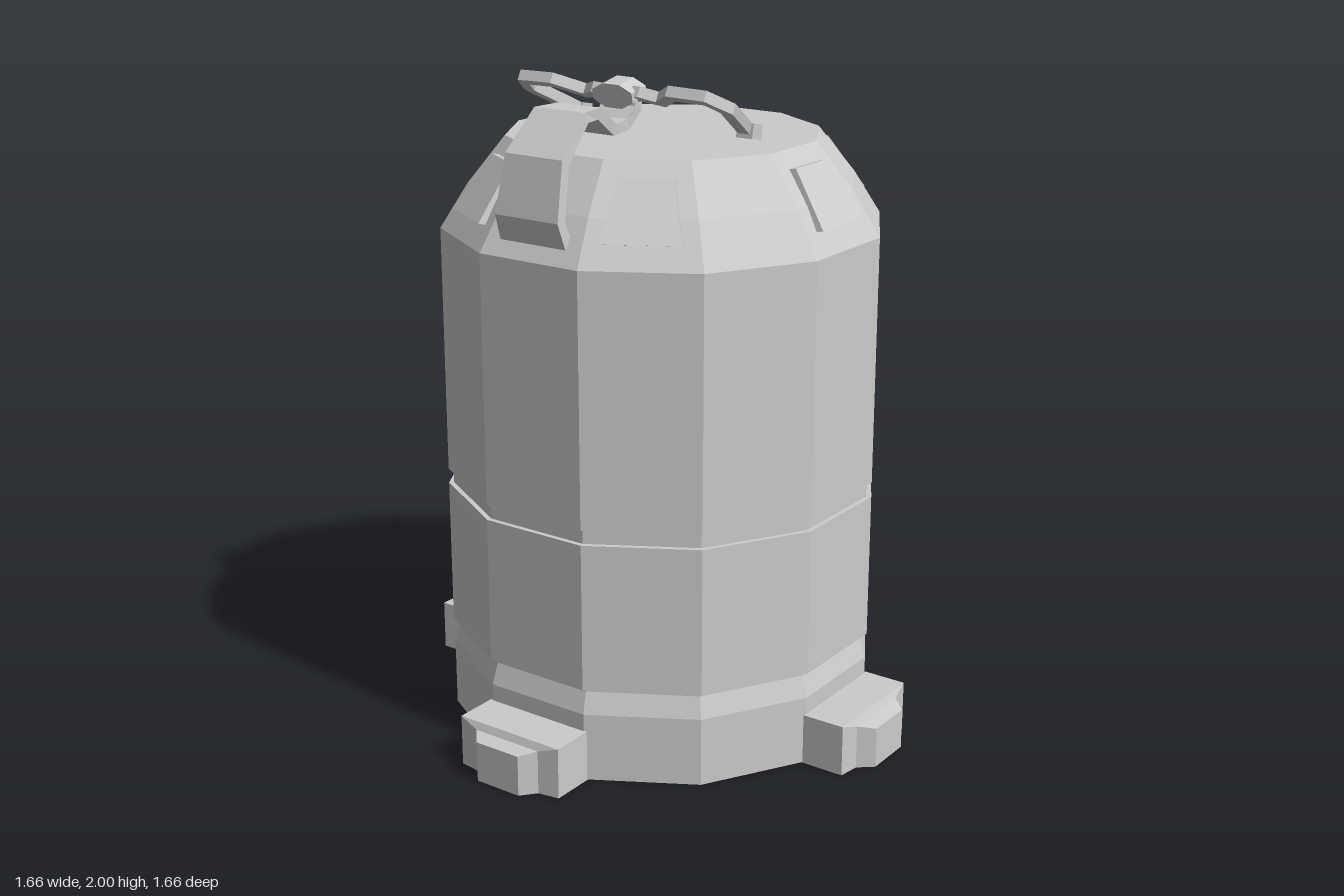
import * as THREE from 'three';

const material = new THREE.MeshStandardMaterial({ color: 0xcccccc, flatShading: true, side: THREE.DoubleSide });

// Joins cross-sections (counter-clockwise around the direction of travel) into a faceted skin.
function loft(name, rings, { closed = true, start = true, end = true, skip = () => false } = {}) {
  const pos = [];
  const tri = (...pts) => pts.forEach((p) => pos.push(...p));
  const n = rings[0].length;
  for (let i = 0; i < rings.length - 1; i++) {
    for (let j = 0; j < (closed ? n : n - 1); j++) {
      if (skip(i, j)) continue;
      const k = (j + 1) % n;
      tri(rings[i][j], rings[i][k], rings[i + 1][k]);
      tri(rings[i][j], rings[i + 1][k], rings[i + 1][j]);
    }
  }
  const first = rings[0], last = rings[rings.length - 1];
  for (let j = 1; j < n - 1; j++) {
    if (start) tri(first[0], first[j + 1], first[j]);
    if (end) tri(last[0], last[j], last[j + 1]);
  }
  const geo = new THREE.BufferGeometry();
  geo.setAttribute('position', new THREE.Float32BufferAttribute(pos, 3));
  geo.computeVertexNormals();
  const mesh = new THREE.Mesh(geo, material);
  mesh.name = name;
  return mesh;
}

// Rectangular bar swept along points; size(i) gives half width (sideways) and half thickness.
function bar(name, points, sideways, size) {
  const v = points.map((p) => new THREE.Vector3(...p));
  const rings = v.map((p, i) => {
    const a = v[Math.max(i - 1, 0)], b = v[Math.min(i + 1, v.length - 1)];
    const t = b.clone().sub(a).normalize();
    const s = sideways.clone().addScaledVector(t, -sideways.dot(t)).normalize();
    const u = t.clone().cross(s);
    const [w, h] = size(i);
    return [[1, 1], [-1, 1], [-1, -1], [1, -1]].map(([q, r]) =>
      p.clone().addScaledVector(s, q * w).addScaledVector(u, r * h).toArray());
  });
  return loft(name, rings);
}

export function createModel() {
  const group = new THREE.Group();
  const canister = new THREE.Group();
  canister.name = 'canister';
  canister.position.x = -0.005;
  group.add(canister);

  // Twelve-sided shell, open below, with gaps in the wall behind the feet
  const profile = [
    [0, 0.642], [0.157, 0.642], [0.21, 0.642], [0.275, 0.622], [0.29, 0.622], [0.29, 0.645],
    [0.74, 0.645], [0.74, 0.63], [0.78, 0.63], [0.785, 0.645], [1.54, 0.645], [1.67, 0.565], [1.81, 0.455],
  ];
  const rings = profile.map(([y, apothem]) => {
    const r = apothem / Math.cos(Math.PI / 12);
    return Array.from({ length: 12 }, (_, k) => {
      const a = (k - 0.5) * Math.PI / 6;
      return [r * Math.sin(a), y, r * Math.cos(a)];
    });
  });
  canister.add(loft('body', rings, { start: false, skip: (i, j) => i === 0 && j % 3 === 0 }));

  // Four hollow feet
  const footStations = [[0.64, 0.182, 0.157], [0.775, 0.182, 0.157], [0.785, 0.115, 0.135], [0.83, 0.077, 0.125]];
  const footRings = footStations.map(([z, w, h]) => [[w, 0, z], [w, h, z], [-w, h, z], [-w, 0, z]]);
  for (let k = 0; k < 4; k++) {
    const foot = loft('foot', footRings, { closed: false, start: false });
    foot.rotation.y = k * Math.PI / 2;
    canister.add(foot);
  }

  // Raised plates around the shoulder
  const plate = (w0, y0, z0, w1, y1, z1) => [[w0, y0, z0], [w1, y1, z1], [-w1, y1, z1], [-w0, y0, z0]];
  for (let k = 0; k < 6; k++) {
    const panel = loft('shoulderPlate', [
      plate(0.115, 1.6, 0.585, 0.082, 1.76, 0.47),
      plate(0.112, 1.61, 0.625, 0.08, 1.768, 0.512),
    ]);
    panel.rotation.y = k * Math.PI / 3;
    canister.add(panel);
  }

  // Bevelled box on the left side
  const sideBox = loft('sideBox', [
    plate(0.175, 0.292, 0.64, 0.175, 0.74, 0.64),
    plate(0.105, 0.4, 0.727, 0.105, 0.63, 0.727),
  ]);
  sideBox.rotation.y = Math.PI / 2;
  canister.add(sideBox);

  // Bent strap rising from the shoulder and over the lid
  const strap = [
    [-0.61, 1.59, 0.115], [-0.635, 1.66, 0.11], [-0.6, 1.82, 0.1], [-0.49, 1.925, 0.088],
    [-0.415, 1.925, 0.075], [-0.325, 1.865, 0.062], [-0.255, 1.87, 0.055], [-0.215, 1.91, 0.06], [-0.205, 1.96, 0.06],
  ];
  group.add(bar('strap', strap.map(([x, y]) => [x, y, 0]), new THREE.Vector3(0, 0, 1), (i) => [strap[i][2], 0.017]));

  // Chamfered clasp holding the wire handle
  const clasp = new THREE.Mesh(
    new THREE.CylinderGeometry(0.07, 0.07, 0.07, 8).rotateY(Math.PI / 8).rotateZ(Math.PI / 2).scale(1, 0.55, 1.08), material);
  clasp.name = 'clasp';
  clasp.position.set(-0.222, 1.952, 0);
  clasp.rotation.z = 0.2;
  group.add(clasp);

  // Mirrored wire handle lying in a sloping plane, with a knob at each end
  const wire = [[-0.215, 0], [-0.225, 0.08], [-0.2, 0.135], [-0.26, 0.21], [-0.255, 0.32], [-0.19, 0.352], [-0.03, 0.305], [0, 0.31]];
  for (const side of [1, -1]) {
    const path = wire.map(([x, z]) => [x, 1.835 - 0.53 * x, side * z]);
    group.add(bar('wireHandle', path, new THREE.Vector3(0.53, 1, 0), () => [0.016, 0.02]));
    const knob = new THREE.Mesh(new THREE.BoxGeometry(0.05, 0.045, 0.055), material);
    knob.name = 'handleKnob';
    knob.position.set(-0.012, 1.842, side * 0.308);
    knob.rotation.z = -0.2;
    group.add(knob);
  }
  return group;
}
